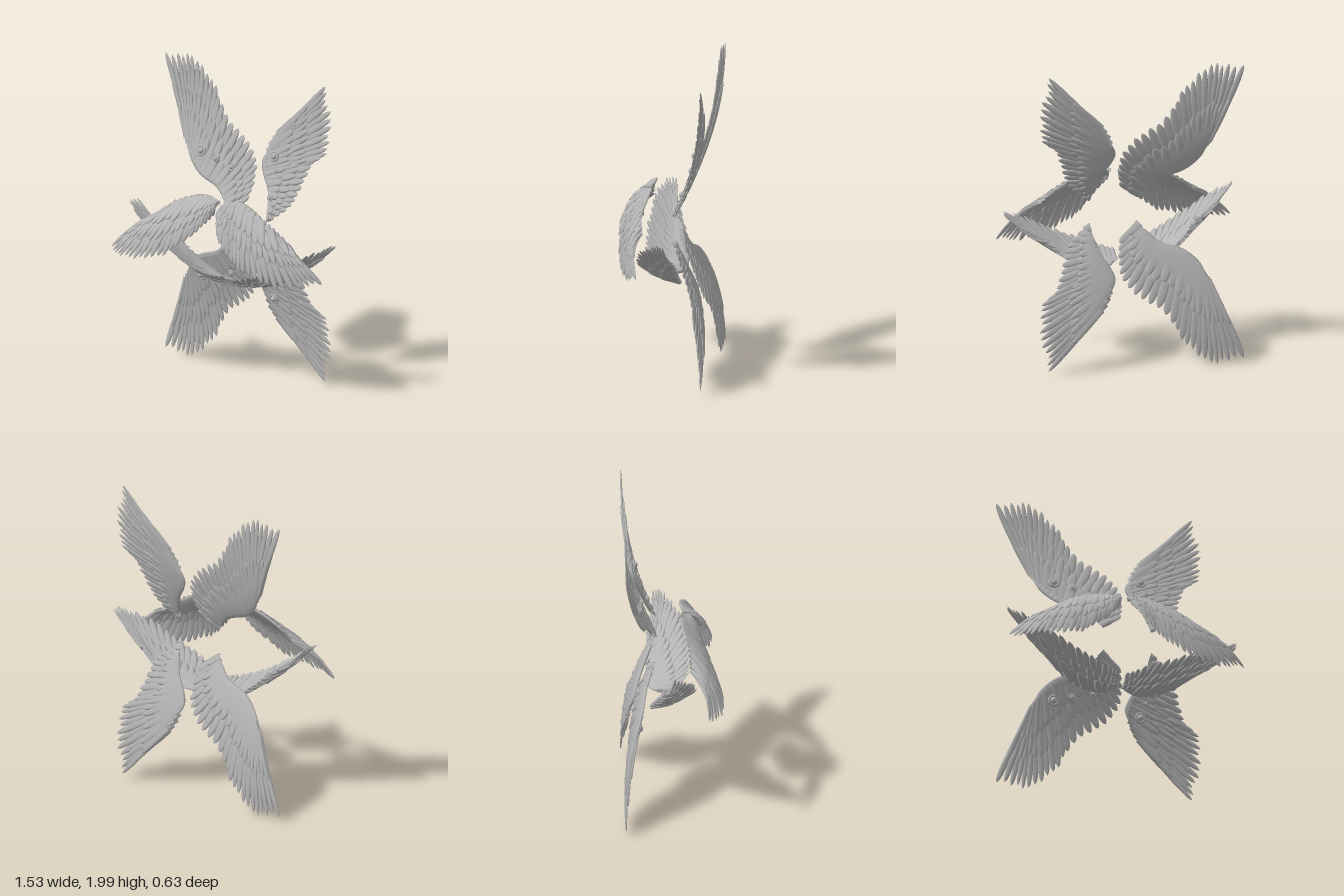
import * as THREE from 'three';
import { mergeGeometries } from 'three/addons/utils/BufferGeometryUtils.js';

const V = (x, y, z) => new THREE.Vector3(x, y, z);

// Closed skin over a list of rings with equal point counts
function loft(rings, flip = false) {
  const n = rings[0].length, pos = [], idx = [];
  for (const r of rings) for (const p of r) pos.push(p.x, p.y, p.z);
  for (let i = 0; i < rings.length - 1; i++) {
    for (let j = 0; j < n; j++) {
      const a = i * n + j, b = i * n + (j + 1) % n, c = a + n, d = b + n;
      if (flip) idx.push(a, d, b, a, c, d);
      else idx.push(a, b, d, a, d, c);
    }
  }
  const g = new THREE.BufferGeometry();
  g.setAttribute('position', new THREE.Float32BufferAttribute(pos, 3));
  g.setIndex(idx);
  g.computeVertexNormals();
  return g;
}

// Wing surface between a bone curve (s along it) and a curve of feather tips (t towards it)
function makePatch({ bone, tips, depth, front, camber = 0, mirrorY = false }) {
  const curve = list => new THREE.CatmullRomCurve3(list.map(p => V(p[0], p[1], p[2] ?? 0)));
  const L = curve(bone), T = curve(tips);
  const f = V(...front).normalize();
  if (mirrorY) f.y *= -1;
  const at = (s, t) => {
    s = THREE.MathUtils.clamp(s, 0, 1);
    const p = L.getPoint(s).lerp(T.getPoint(s), t);
    if (depth) p.z = depth(p.y);
    if (mirrorY) p.y = 2 - p.y;
    return p.addScaledVector(f, camber * Math.sin(Math.PI * t));
  };
  const frame = (s, t) => {
    const along = at(s, t + 0.02).sub(at(s, t - 0.02)).normalize();
    const side = at(s + 0.02, t).sub(at(s - 0.02, t));
    const n = along.clone().cross(side).normalize();
    const sign = n.dot(f) < 0 ? -1 : 1;
    n.multiplyScalar(sign);
    return { along, n, sign, across: n.clone().cross(along), span: side.length() };
  };
  return { at, frame };
}

// One row of overlapping feathers; lift moves the row off the wing surface
function featherRow(patch, count, t0, t1, lift, thick, seed) {
  const parts = [], steps = 9, sides = 6;
  for (let i = 0; i < count; i++) {
    const s = i / (count - 1);
    const rnd = Math.abs(Math.sin((i + 1) * 12.9898 + seed * 78.233) * 43758.5453) % 1;
    const end = t1 * (1 - (t1 < 1 ? 0.14 : 0.05) * rnd);
    const rings = [];
    for (let k = 0; k <= steps; k++) {
      const u = 1 - Math.pow(1 - k / steps, 1.4);
      const t = t0 + (end - t0) * u;
      const { n, across, span } = patch.frame(s, t);
      const edge = (i === 0 || i === count - 1) ? 2 : 1;
      const spacing = span * edge / 0.04 / (count - 1);
      const taper = Math.sqrt(Math.max(0, 1 - Math.pow(u, 5)));
      const w = Math.min(0.045, Math.max(0.009, spacing * (0.78 - 0.22 * u))) * taper;
      const h = thick * (0.3 + 0.7 * taper) * (k === steps ? 0 : 1);
      const c = patch.at(s, t).addScaledVector(n, lift * (0.6 + 0.4 * u) + (i % 2) * 0.0025);
      rings.push(Array.from({ length: sides }, (_, j) => {
        const a = j / sides * Math.PI * 2;
        return c.clone().addScaledVector(across, Math.cos(a) * w).addScaledVector(n, Math.sin(a) * h);
      }));
    }
    parts.push(loft(rings));
  }
  return mergeGeometries(parts);
}

// Smooth fleshy arm of the wing, thickest behind the leading edge
function wingArm(patch, reach, thick) {
  const rings = [], steps = 28, sides = 16;
  let flip = false;
  for (let i = 0; i <= steps; i++) {
    const s = i / steps;
    const f = Math.sqrt(Math.max(0, 1 - Math.pow(2 * s - 1, 8)));
    const ring = [];
    for (let j = 0; j < sides; j++) {
      const a = j / sides * Math.PI * 2;
      const t = reach / 2 - (reach / 2 + 0.02) * Math.cos(a) * f;
      const { n, sign } = patch.frame(s, Math.max(t, 0.02));
      flip = sign < 0;
      const h = thick * (1 - 0.5 * t / reach) * Math.sin(a) * f;
      ring.push(patch.at(s, t).addScaledVector(n, h));
    }
    rings.push(ring);
  }
  return loft(rings, flip);
}

// Raised eye: lid ring around a ball
function makeEye(x, y, r, depth, mirrorY, mat) {
  const eye = new THREE.Group();
  eye.name = 'eye';
  const lid = new THREE.Mesh(new THREE.TorusGeometry(r * 0.8, r * 0.24, 8, 20), mat);
  lid.name = 'eyelid';
  const ball = new THREE.Mesh(new THREE.SphereGeometry(r * 0.62, 16, 10), mat);
  ball.name = 'eyeball';
  eye.add(lid, ball);
  const slope = (depth(y + 0.01) - depth(y - 0.01)) / 0.02;
  const n = V(0, -slope, 1).normalize();
  if (mirrorY) n.y *= -1;
  eye.position.set(x, mirrorY ? 2 - y : y, depth(y)).addScaledVector(n, 0.021);
  eye.quaternion.setFromUnitVectors(V(0, 0, 1), n);
  return eye;
}

function makeWing(name, spec, mat, seed) {
  const wing = new THREE.Group();
  wing.name = name;
  const patch = makePatch(spec), n = spec.count;
  const add = (part, geometry) => {
    const m = new THREE.Mesh(geometry, mat);
    m.name = part;
    wing.add(m);
  };
  add('wingArm', wingArm(patch, 0.55, spec.thick));
  add('flightFeathers', featherRow(patch, n, 0.05, 1, 0, 0.007, seed));
  add('longCoverts', featherRow(patch, n - 3, 0.05, 0.72, 0.009, 0.006, seed + 1));
  add('shortCoverts', featherRow(patch, n - 7, 0.04, 0.46, 0.014, 0.007, seed + 2));
  add('backCoverts', featherRow(patch, n - 4, 0.05, 0.62, -0.009, 0.006, seed + 3));
  for (const [x, y, r] of spec.eyes ?? []) wing.add(makeEye(x, y, r, spec.depth, spec.mirrorY, mat));
  return wing;
}

export function createModel() {
  const model = new THREE.Group();
  model.name = 'wingCluster';
  const grey = new THREE.MeshStandardMaterial({ color: 0xb4b4b4 });
  grey.name = 'stoneGrey';

  // Tall rear wings sweep backwards as they leave the middle
  const depth = y => -0.31 + 0.2 * Math.pow(Math.max(0, 1.95 - y) / 0.87, 2.2);
  const rearRight = {
    depth, front: [0, 0.4, 1], count: 25, thick: 0.017,
    bone: [[-0.12, 1.09], [-0.21, 1.2], [-0.38, 1.27], [-0.48, 1.36], [-0.52, 1.43]],
    tips: [[0.03, 1.2], [0.05, 1.31], [0.03, 1.42], [-0.05, 1.53], [-0.17, 1.6], [-0.28, 1.72],
      [-0.35, 1.85], [-0.44, 1.93], [-0.54, 1.99], [-0.63, 2.0], [-0.74, 1.97]],
    eyes: [[-0.39, 1.4, 0.036], [-0.27, 1.37, 0.024], [-0.14, 1.34, 0.022]],
  };
  const rearLeft = {
    depth, front: [0, 0.4, 1], count: 23, thick: 0.017,
    bone: [[0.2, 1.1], [0.16, 1.25], [0.1, 1.35], [0.08, 1.43], [0.16, 1.57]],
    tips: [[0.25, 1.11], [0.35, 1.18], [0.39, 1.26], [0.43, 1.37], [0.48, 1.48], [0.56, 1.55],
      [0.57, 1.65], [0.57, 1.77], [0.54, 1.88], [0.52, 1.97]],
    eyes: [[0.17, 1.46, 0.034], [0.2, 1.37, 0.018], [0.2, 1.21, 0.022]],
  };
  // Front wings fold forwards and down
  const frontRight = {
    front: [0, 0.6, 1], camber: 0.035, count: 22, thick: 0.02,
    bone: [[-0.04, 1.2, 0.06], [-0.12, 1.22, 0.05], [-0.25, 1.2, 0.06], [-0.38, 1.13, 0.09], [-0.48, 1.05, 0.11]],
    tips: [[-0.04, 1.12, 0.12], [-0.08, 1.06, 0.17], [-0.15, 0.99, 0.2], [-0.25, 0.9, 0.25], [-0.33, 0.84, 0.28],
      [-0.43, 0.81, 0.31], [-0.53, 0.79, 0.31], [-0.62, 0.79, 0.3], [-0.7, 0.79, 0.26], [-0.78, 0.8, 0.21]],
  };
  const frontLeft = {
    front: [0, 0.6, 1], camber: 0.035, count: 22, thick: 0.02,
    bone: [[0.03, 1.2, 0.06], [0.1, 1.22, 0.05], [0.22, 1.19, 0.06], [0.35, 1.12, 0.08], [0.46, 1.04, 0.08]],
    tips: [[0.04, 1.1, 0.19], [0.08, 1.02, 0.24], [0.14, 0.95, 0.25], [0.2, 0.88, 0.24], [0.26, 0.83, 0.24],
      [0.34, 0.8, 0.22], [0.43, 0.77, 0.2], [0.53, 0.75, 0.17], [0.64, 0.76, 0.13], [0.7, 0.78, 0.1], [0.77, 0.8, 0.06]],
  };
  // Lower middle wings lie flat and rise towards their tips
  const middleRight = {
    front: [0, -1, 0.4], camber: 0.02, count: 21, thick: 0.018,
    bone: [[-0.04, 0.66, -0.08], [-0.12, 0.64, -0.13], [-0.25, 0.68, -0.14], [-0.38, 0.77, -0.1], [-0.48, 0.86, -0.06]],
    tips: [[-0.04, 0.72, 0.05], [-0.1, 0.73, 0.1], [-0.2, 0.76, 0.13], [-0.3, 0.81, 0.14], [-0.42, 0.88, 0.14],
      [-0.54, 0.96, 0.13], [-0.65, 1.03, 0.12], [-0.72, 1.07, 0.08], [-0.75, 1.09, 0.05], [-0.73, 1.09, 0]],
  };
  const middleLeft = {
    front: [0, -1, 0.4], camber: 0.02, count: 21, thick: 0.018,
    bone: [[0.03, 0.66, -0.08], [0.1, 0.64, -0.13], [0.22, 0.66, -0.15], [0.36, 0.73, -0.14], [0.46, 0.81, -0.13]],
    tips: [[0.03, 0.71, 0.05], [0.1, 0.73, 0.1], [0.2, 0.76, 0.12], [0.32, 0.81, 0.12], [0.44, 0.87, 0.11],
      [0.55, 0.93, 0.08], [0.65, 0.98, 0.03], [0.72, 1.01, -0.02], [0.75, 1.03, -0.06], [0.77, 1.03, -0.1]],
  };

  const wings = {
    rearUpperRightWing: rearRight,
    rearUpperLeftWing: rearLeft,
    rearLowerRightWing: { ...rearRight, mirrorY: true },
    rearLowerLeftWing: { ...rearLeft, mirrorY: true },
    frontRightWing: frontRight,
    frontLeftWing: frontLeft,
    middleRightWing: middleRight,
    middleLeftWing: middleLeft,
  };
  Object.entries(wings).forEach(([name, spec], i) => model.add(makeWing(name, spec, grey, (i % 2) * 5 + 1)));
  return model;
}
